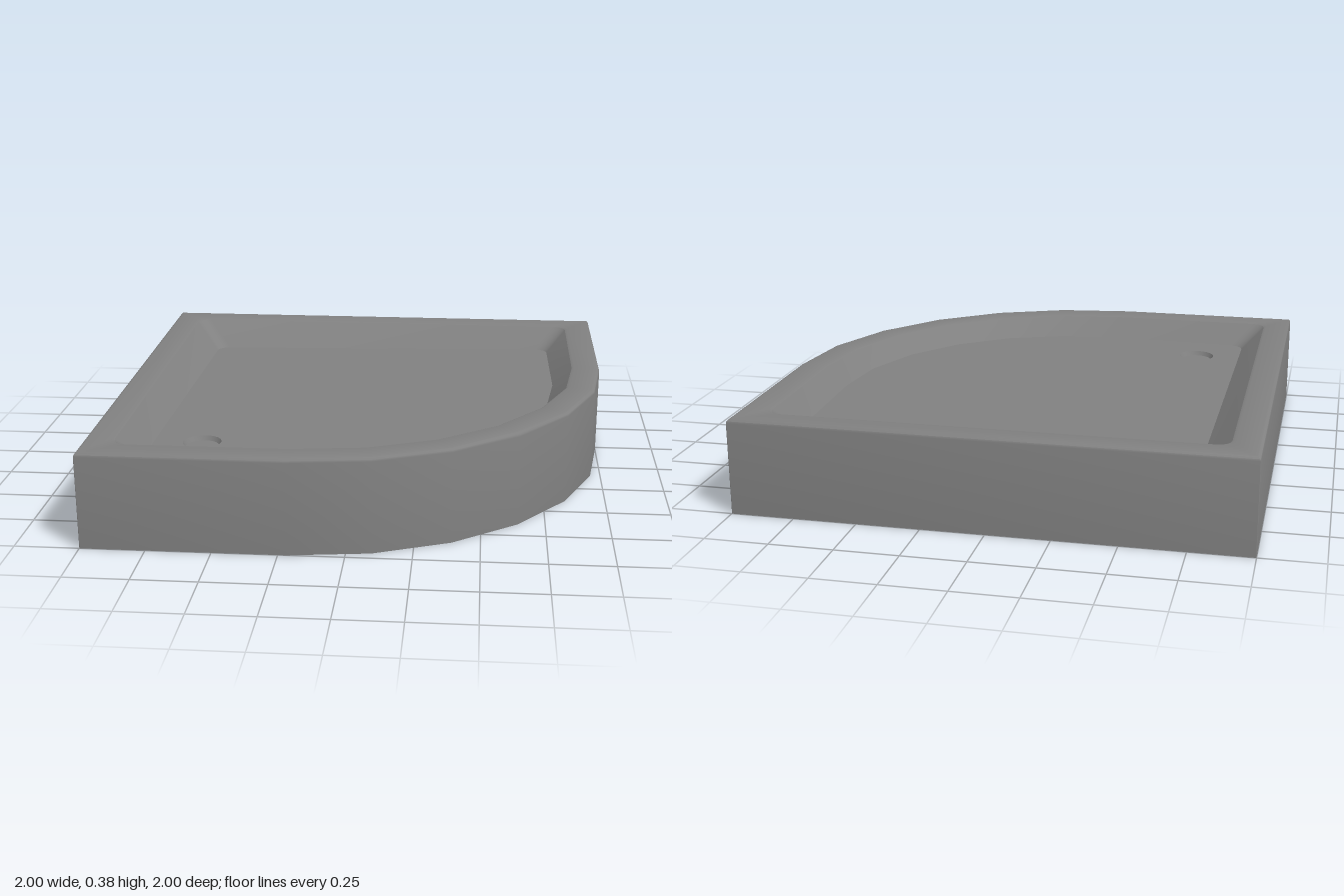
import * as THREE from 'three';
import { toCreasedNormals } from 'three/addons/utils/BufferGeometryUtils.js';

const HEIGHT = 0.38, ARC_CENTRE = -0.22, DRAIN = { x: -0.6, z: 0.59, r: 0.076 };

// height of the gently sloping floor
const floorY = (x, z) => HEIGHT - 0.092 + 0.012 * (x + z);

// quadrant outline: a = back/left edge, b = front/right edge, r = corner radius
function outline(a, b, r) {
  const pts = [];
  const arc = (cx, cz, radius, start, steps) => {
    for (let i = 0; i <= steps; i++) {
      const t = start + (i / steps) * Math.PI / 2;
      pts.push([cx + radius * Math.cos(t), cz + radius * Math.sin(t)]);
    }
  };
  arc(a + r, a + r, r, Math.PI, 4);
  arc(b - r, a + r, r, Math.PI * 1.5, 4);
  arc(ARC_CENTRE, ARC_CENTRE, b - ARC_CENTRE, 0, 6);
  arc(a + r, b - r, r, Math.PI / 2, 4);
  return pts;
}

const ring = (a, b, r, y) => outline(a, b, r).map(([x, z]) => [x, y, z]);

// skin of quads between successive closed rings
function skin(rings) {
  const n = rings[0].length, index = [];
  for (let k = 0; k < rings.length - 1; k++) {
    for (let i = 0; i < n; i++) {
      const j = (i + 1) % n, p = k * n + i, q = k * n + j;
      index.push(p, p + n, q, q, p + n, q + n);
    }
  }
  const g = new THREE.BufferGeometry();
  g.setAttribute('position', new THREE.Float32BufferAttribute(rings.flat(2), 3));
  g.setIndex(index);
  return toCreasedNormals(g, 0.6);
}

// add the floor slope to every vertex
function layOnFloor(g) {
  const p = g.attributes.position;
  for (let i = 0; i < p.count; i++) p.setY(i, p.getY(i) + floorY(p.getX(i), p.getZ(i)));
  g.computeVertexNormals();
  return g;
}

export function createModel() {
  const group = new THREE.Group();
  const material = new THREE.MeshStandardMaterial({ color: 0x808080 });
  material.name = 'grey acrylic';
  const add = (name, geometry) => {
    const mesh = new THREE.Mesh(geometry, material);
    mesh.name = name;
    group.add(mesh);
  };

  // outer wall with softened top edge, flat rim and softened inner lip
  const R = 0.015, rings = [ring(-1, 1, 0.002, 0)];
  for (let i = 0; i <= 3; i++) {
    const t = (i / 3) * Math.PI / 2, d = R * (1 - Math.cos(t));
    rings.push(ring(-1 + d, 1 - d, 0.002, HEIGHT - R + R * Math.sin(t)));
  }
  rings.push(ring(-0.895, 0.89, 0.06, HEIGHT));
  const lip = ring(-0.885, 0.88, 0.055, HEIGHT - 0.004);
  add('outerWallAndRim', skin([...rings, lip]));

  // basin walls slope in to meet the tilted floor
  const edge = lip.map(([x, , z], i) => {
    const d = HEIGHT - floorY(x, z);
    const [fx, fz] = outline(-0.885 + d, 0.88 - 0.95 * d, 0.05)[i];
    return [fx, floorY(fx, fz), fz];
  });
  add('basinWall', skin([lip, edge]));

  // floor with a round opening for the drain
  const floor = new THREE.Shape(edge.map(([x, , z]) => new THREE.Vector2(x, -z)));
  floor.holes.push(new THREE.Path().absarc(DRAIN.x, -DRAIN.z, DRAIN.r, 0, Math.PI * 2, true));
  add('basinFloor', layOnFloor(new THREE.ShapeGeometry(floor, 12).rotateX(-Math.PI / 2)));

  // shallow recessed drain
  const profile = [[DRAIN.r, 0], [0.066, -0.018], [0, -0.018]].map(([x, y]) => new THREE.Vector2(x, y));
  const drain = new THREE.LatheGeometry(profile, 24).translate(DRAIN.x, 0, DRAIN.z);
  add('drain', toCreasedNormals(layOnFloor(drain), 0.6));

  // underside
  const base = new THREE.Shape(outline(-1, 1, 0.002).map(([x, z]) => new THREE.Vector2(x, z)));
  add('underside', new THREE.ShapeGeometry(base).rotateX(Math.PI / 2));

  return group;
}
